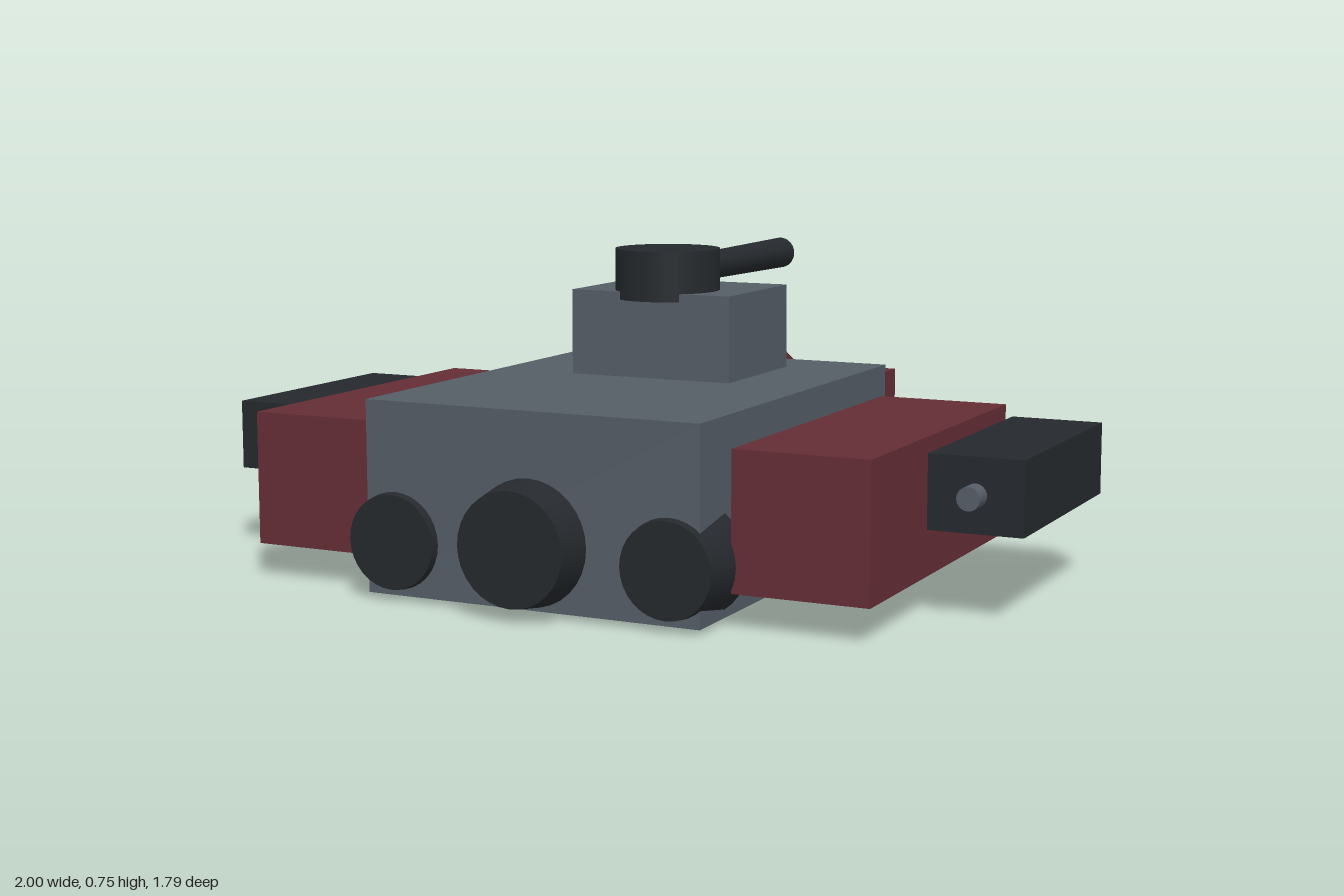
import * as THREE from 'three';

const grey = new THREE.MeshStandardMaterial({ color: 0x555d66 });
const red = new THREE.MeshStandardMaterial({ color: 0x652d35 });
const dark = new THREE.MeshStandardMaterial({ color: 0x25292d });

export function createModel() {
  const model = new THREE.Group();
  model.name = 'armedVehicle';

  const add = (name, geometry, material) => {
    const mesh = new THREE.Mesh(geometry, material);
    mesh.name = name;
    model.add(mesh);
    return mesh;
  };

  // Box given by its [min, max] range on each axis
  const box = (name, material, [x0, x1], [y0, y1], [z0, z1]) =>
    add(name, new THREE.BoxGeometry(x1 - x0, y1 - y0, z1 - z0), material)
      .position.set((x0 + x1) / 2, (y0 + y1) / 2, (z0 + z1) / 2);

  // Round part lying along z, with a radius at its back and front end
  const rod = (name, material, x, y, [z0, z1], rBack, rFront, sides = 32) => {
    const geometry = new THREE.CylinderGeometry(rFront, rBack, z1 - z0, sides).rotateX(Math.PI / 2);
    add(name, geometry, material).position.set(x, y, (z0 + z1) / 2);
  };

  // Hull and rear block
  box('hull', grey, [-0.41, 0.41], [0.012, 0.448], [-0.245, 0.812]);
  box('rearBlock', red, [-0.288, 0.288], [0.125, 0.385], [-0.635, -0.245]);

  // Four-sided spike pointing backwards, breaking through the rear block
  const spike = new THREE.ConeGeometry(0.226, 0.43, 4).rotateX(-Math.PI / 2);
  add('rearSpike', spike, red).position.set(0, 0.255, -0.68);

  // Turret with its barrel pointing backwards
  box('turretBase', grey, [-0.206, 0.206], [0.448, 0.65], [-0.102, 0.232]);
  add('turret', new THREE.CylinderGeometry(0.125, 0.125, 0.118, 32), dark).position.set(0, 0.69, 0.135);
  rod('barrel', dark, 0, 0.69, [-0.535, 0.1], 0.039, 0.032);

  // Tapered front drums
  rod('centreDrum', dark, 0, 0.16, [0.7, 0.895], 0.16, 0.128);

  for (const side of [1, -1]) {
    const span = (a, b) => (side > 0 ? [a, b] : [-b, -a]);
    rod('sideDrum', dark, side * 0.338, 0.135, [0.69, 0.832], 0.127, 0.107);
    box('sideBlock', red, span(0.447, 0.76), [0.078, 0.387], [-0.127, 0.738]);
    box('gunPod', dark, span(0.785, 1), [0.197, 0.363], [-0.102, 0.474]);
    rod('gunMuzzle', grey, side * 0.892, 0.28, [0.44, 0.522], 0.026, 0.026, 24);
  }
  return model;
}
